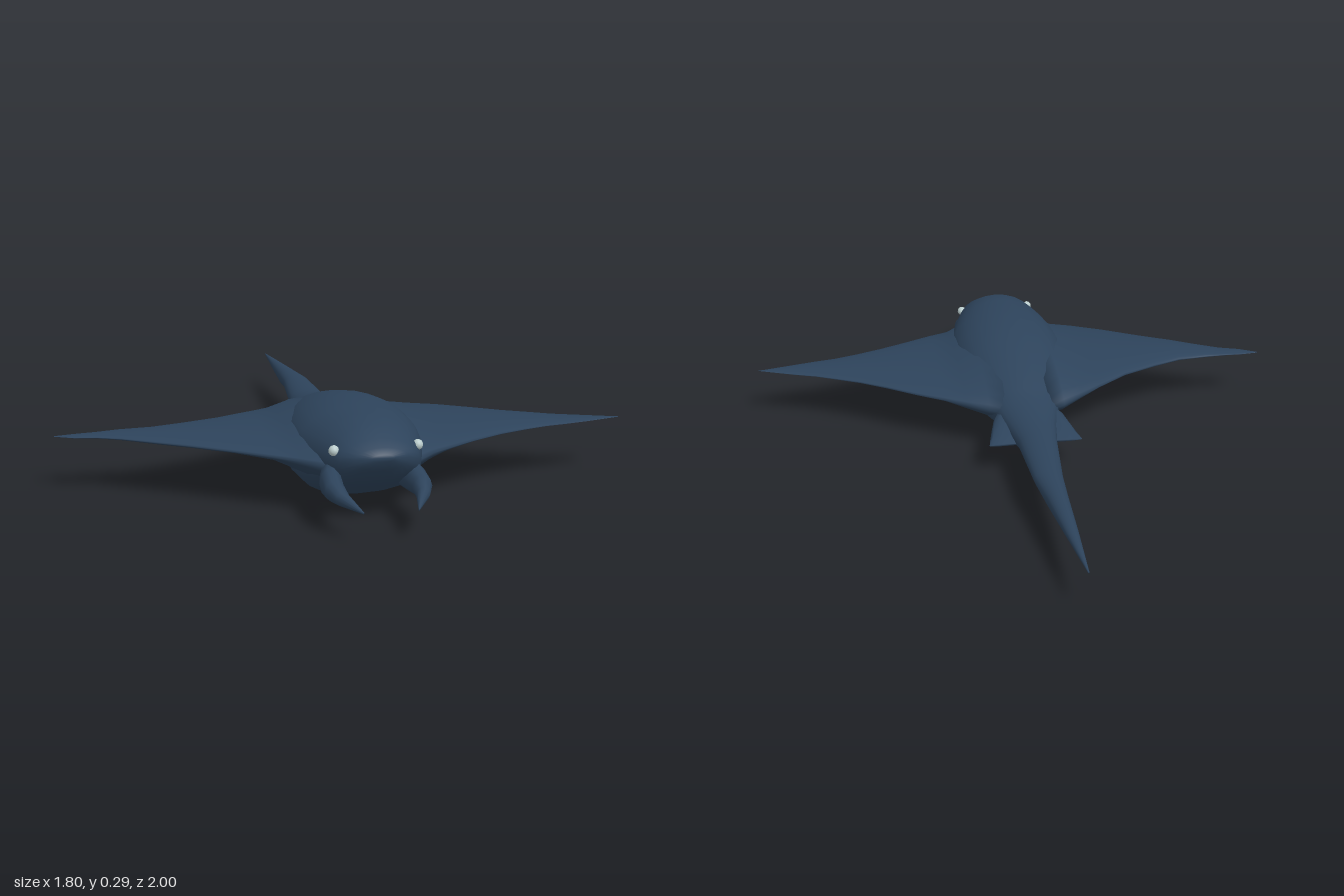
import * as THREE from 'three';

const skin = new THREE.MeshStandardMaterial({ color: 0x2d435b });
skin.name = 'slate blue skin';
const eyeWhite = new THREE.MeshStandardMaterial({ color: 0xb9cbcb });
eyeWhite.name = 'pale eye';

// Joins closed rings of [x, y, z] points into a smooth skin with closed ends
function loft(rings, flip = false) {
  const n = rings[0].length, pos = rings.flat(2), index = [];
  const tri = (a, b, c) => (flip ? index.push(a, c, b) : index.push(a, b, c));
  for (let i = 0; i < rings.length - 1; i++) {
    for (let j = 0; j < n; j++) {
      const a = i * n + j, b = i * n + (j + 1) % n;
      tri(a, a + n, b);
      tri(b, a + n, b + n);
    }
  }
  const last = (rings.length - 1) * n;
  for (let j = 1; j < n - 1; j++) {
    tri(0, j, j + 1);
    tri(last, last + j + 1, last + j);
  }
  const g = new THREE.BufferGeometry();
  g.setAttribute('position', new THREE.Float32BufferAttribute(pos, 3));
  g.setIndex(index);
  g.computeVertexNormals();
  return g;
}

function ring(n, fn) {
  return Array.from({ length: n }, (_, j) => {
    const a = (j / n) * Math.PI * 2;
    return fn(Math.cos(a), Math.sin(a));
  });
}
const pow = (v, e) => Math.sign(v) * Math.abs(v) ** e;

// Body and tail: z, centre x, half width, top, widest height, bottom
const bodyRows = [
  [0.862, 0, 0.035, 0.215, 0.205, 0.195],
  [0.845, 0, 0.08, 0.232, 0.20, 0.165],
  [0.81, 0, 0.12, 0.25, 0.185, 0.125],
  [0.75, 0, 0.145, 0.278, 0.17, 0.09],
  [0.66, 0, 0.175, 0.29, 0.16, 0.045],
  [0.56, 0, 0.2, 0.291, 0.15, 0.01],
  [0.44, 0, 0.205, 0.294, 0.15, 0],
  [0.3, 0, 0.19, 0.275, 0.15, 0.012],
  [0.16, 0, 0.155, 0.242, 0.145, 0.035],
  [0.05, 0, 0.118, 0.21, 0.14, 0.054],
  [0, 0, 0.105, 0.19, 0.135, 0.06],
  [-0.1, 0, 0.08, 0.175, 0.125, 0.07],
  [-0.2, 0, 0.064, 0.163, 0.125, 0.09],
  [-0.45, 0.01, 0.046, 0.158, 0.13, 0.1],
  [-0.58, 0.005, 0.034, 0.155, 0.125, 0.09],
  [-0.78, 0, 0.02, 0.142, 0.125, 0.108],
  [-1, -0.005, 0.002, 0.127, 0.125, 0.123],
];

// Wings: distance out, leading z, trailing z, top, edge height, bottom
const leftWing = [
  [0.06, 0.78, -0.01, 0.25, 0.155, 0.05],
  [0.13, 0.75, 0.01, 0.24, 0.155, 0.05],
  [0.2, 0.685, 0.05, 0.208, 0.16, 0.085],
  [0.27, 0.65, 0.09, 0.198, 0.165, 0.125],
  [0.36, 0.6, 0.14, 0.195, 0.168, 0.145],
  [0.46, 0.55, 0.21, 0.191, 0.17, 0.15],
  [0.55, 0.515, 0.27, 0.187, 0.17, 0.155],
  [0.63, 0.49, 0.312, 0.183, 0.17, 0.16],
  [0.7, 0.478, 0.348, 0.179, 0.17, 0.163],
  [0.78, 0.46, 0.378, 0.176, 0.17, 0.166],
  [0.9, 0.43, 0.428, 0.172, 0.171, 0.17],
];
const rightWing = [
  [0.06, 0.8, -0.01, 0.25, 0.155, 0.05],
  [0.13, 0.77, 0.01, 0.24, 0.155, 0.05],
  [0.2, 0.7, 0.06, 0.208, 0.16, 0.085],
  [0.27, 0.66, 0.105, 0.198, 0.167, 0.125],
  [0.38, 0.59, 0.178, 0.195, 0.172, 0.145],
  [0.5, 0.51, 0.23, 0.193, 0.174, 0.152],
  [0.6, 0.45, 0.266, 0.191, 0.175, 0.158],
  [0.7, 0.385, 0.275, 0.187, 0.175, 0.164],
  [0.77, 0.35, 0.28, 0.18, 0.174, 0.167],
  [0.84, 0.33, 0.282, 0.176, 0.172, 0.168],
  [0.9, 0.296, 0.29, 0.172, 0.171, 0.17],
];

function wing(rows, side) {
  return loft(rows.map(([x, lead, trail, top, edge, low]) =>
    ring(24, (c, s) => [
      side * x,
      edge + Math.abs(s) ** 1.3 * (s > 0 ? top - edge : low - edge),
      (lead + trail) / 2 + c * (lead - trail) / 2,
    ])), side < 0);
}

// Horn-like head fins: z, centre x, half width, centre y, half height
const hornRows = [
  [0.72, 0.1, 0.03, 0.125, 0.05],
  [0.79, 0.113, 0.034, 0.12, 0.045],
  [0.86, 0.116, 0.03, 0.115, 0.032],
  [0.91, 0.105, 0.021, 0.107, 0.021],
  [1, 0.067, 0.002, 0.092, 0.003],
];

// Pelvic fins: z, inner x, outer x, centre y, half thickness
const pelvicRows = [
  [0.03, 0.05, 0.1, 0.13, 0.02],
  [-0.02, 0.05, 0.122, 0.125, 0.025],
  [-0.07, 0.05, 0.135, 0.118, 0.022],
  [-0.12, 0.045, 0.147, 0.112, 0.014],
  [-0.165, 0.04, 0.156, 0.11, 0.004],
];

export function createModel() {
  const model = new THREE.Group();
  model.name = 'ray';
  const add = (name, geometry, material = skin) => {
    const mesh = new THREE.Mesh(geometry, material);
    mesh.name = name;
    model.add(mesh);
    return mesh;
  };

  // Rounded back, flatter belly, tapering into the tail
  add('bodyAndTail', loft(bodyRows.map(([z, cx, w, top, mid, low]) =>
    ring(24, (c, s) => [
      cx + w * (s < 0 ? pow(c, 0.8) : c),
      mid + (s > 0 ? s * (top - mid) : pow(s, 0.8) * (mid - low)),
      z,
    ]))));

  add('leftWing', wing(leftWing, 1));
  add('rightWing', wing(rightWing, -1));

  for (const side of [1, -1]) {
    const label = side > 0 ? 'left' : 'right';
    const shift = side > 0 ? 0 : 0.024;

    add(label + 'HeadFin', loft(hornRows.map(([z, cx, w, cy, h]) =>
      ring(10, (c, s) => [side * (cx + shift + w * c), cy + h * s, z])), side > 0));

    add(label + 'PelvicFin', loft(pelvicRows.map(([z, a, b, cy, h]) =>
      ring(10, (c, s) => [side * ((a + b) / 2 + c * (b - a) / 2), cy + h * s, z])), side < 0));

    // Small pale eyes on the sides of the head
    const eye = add(label + 'Eye', new THREE.SphereGeometry(0.016, 12, 8), eyeWhite);
    eye.position.set(side > 0 ? 0.128 : -0.126, 0.213, side > 0 ? 0.765 : 0.78);
  }
  return model;
}
